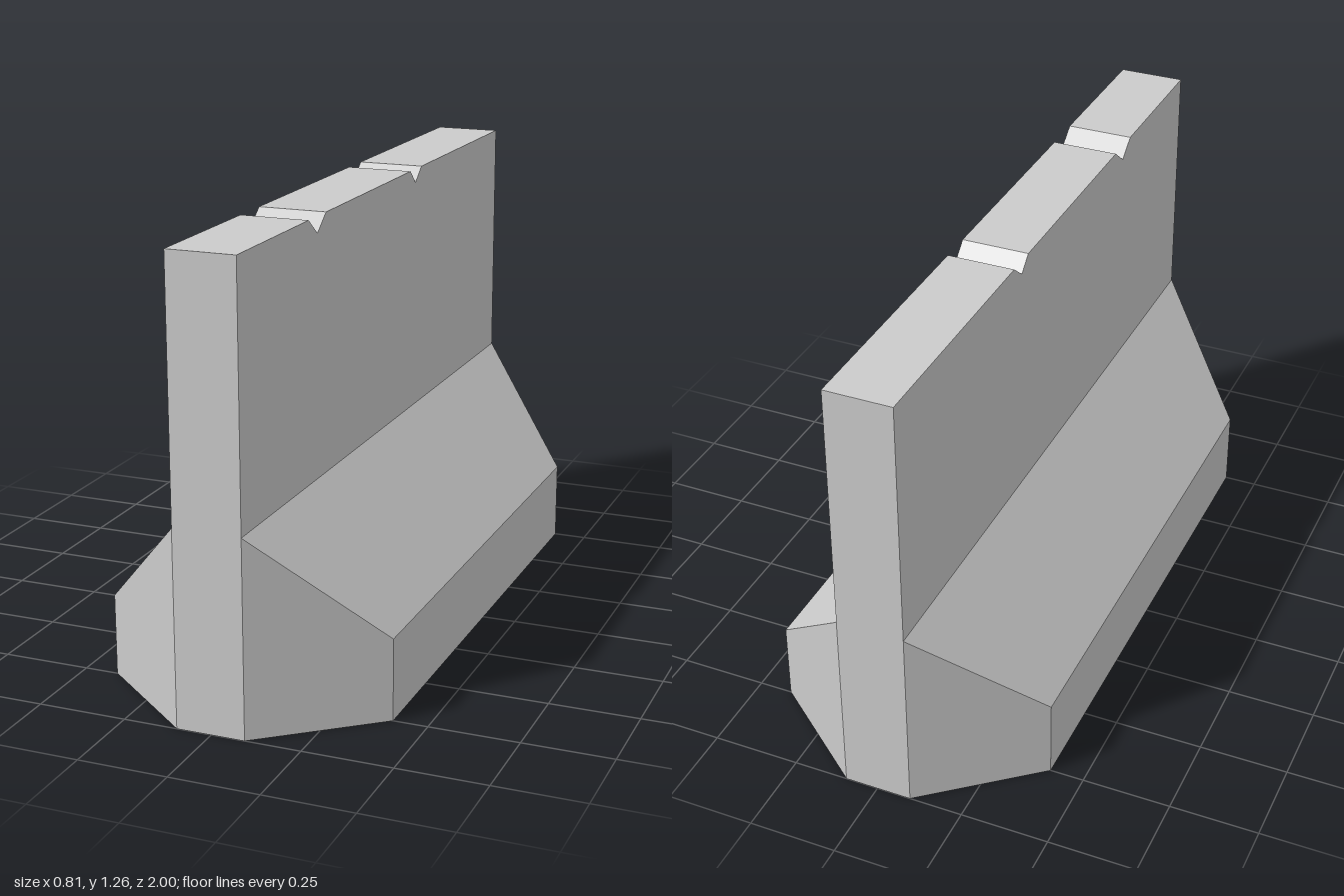
import * as THREE from 'three';

const LEFT = 0.094, RIGHT = -0.098;      // wall faces
const OUT = 0.404, OUT_Z = 0.75;         // outer faces of the flared foot
const CURB = 0.23, LEDGE = 0.55, TOP = 1.265;

// Flat-shaded mesh from quads whose corners run counter-clockwise seen from outside
function quadMesh(name, quads) {
  const pos = quads.flatMap(([a, b, c, d]) => [a, b, c, a, c, d]).flat();
  const geometry = new THREE.BufferGeometry();
  geometry.setAttribute('position', new THREE.Float32BufferAttribute(pos, 3));
  geometry.computeVertexNormals();
  const material = new THREE.MeshStandardMaterial({ color: 0xcccccc, side: THREE.DoubleSide });
  const mesh = new THREE.Mesh(geometry, material);
  mesh.name = name;
  return mesh;
}

// Upright wall: a [z, y] outline with two V notches, carried across the thickness
function wall() {
  const outline = [
    [1, LEDGE], [1, TOP],
    [0.56, TOP], [0.502, 1.22], [0.443, TOP],
    [-0.197, TOP], [-0.24, 1.225], [-0.29, TOP],
    [-1, TOP], [-1, LEDGE],
  ];
  const quads = [];
  for (let i = 0; i < outline.length - 1; i++) {
    const [z0, y0] = outline[i], [z1, y1] = outline[i + 1];
    // ends, top and notch faces
    quads.push([[RIGHT, y0, z0], [LEFT, y0, z0], [LEFT, y1, z1], [RIGHT, y1, z1]]);
    if (z0 === z1) continue;
    // strips of the two broad faces
    quads.push([[LEFT, LEDGE, z0], [LEFT, LEDGE, z1], [LEFT, y1, z1], [LEFT, y0, z0]]);
    quads.push([[RIGHT, LEDGE, z1], [RIGHT, LEDGE, z0], [RIGHT, y0, z0], [RIGHT, y1, z1]]);
  }
  return quadMesh('wall', quads);
}

// Hollow flared foot, open underneath
function foot() {
  const quads = [];
  for (const s of [1, -1]) {
    const x = s > 0 ? LEFT : RIGHT, o = s * OUT;
    const side = [
      // curb face
      [[o, 0, OUT_Z], [o, 0, -OUT_Z], [o, CURB, -OUT_Z], [o, CURB, OUT_Z]],
      // slope up to the wall
      [[o, CURB, OUT_Z], [o, CURB, -OUT_Z], [x, LEDGE, -1], [x, LEDGE, 1]],
      // chamfered corners
      [[x, 0, 1], [o, 0, OUT_Z], [o, CURB, OUT_Z], [x, LEDGE, 1]],
      [[o, 0, -OUT_Z], [x, 0, -1], [x, LEDGE, -1], [o, CURB, -OUT_Z]],
    ];
    quads.push(...side.map((q) => (s > 0 ? q : q.reverse())));
    // end panel below the wall
    const [a, b] = s > 0 ? [RIGHT, LEFT] : [LEFT, RIGHT];
    quads.push([[a, 0, s], [b, 0, s], [b, LEDGE, s], [a, LEDGE, s]]);
  }
  return quadMesh('foot', quads);
}

export function createModel() {
  const group = new THREE.Group();
  group.name = 'roadBarrier';
  group.add(wall(), foot());
  return group;
}
